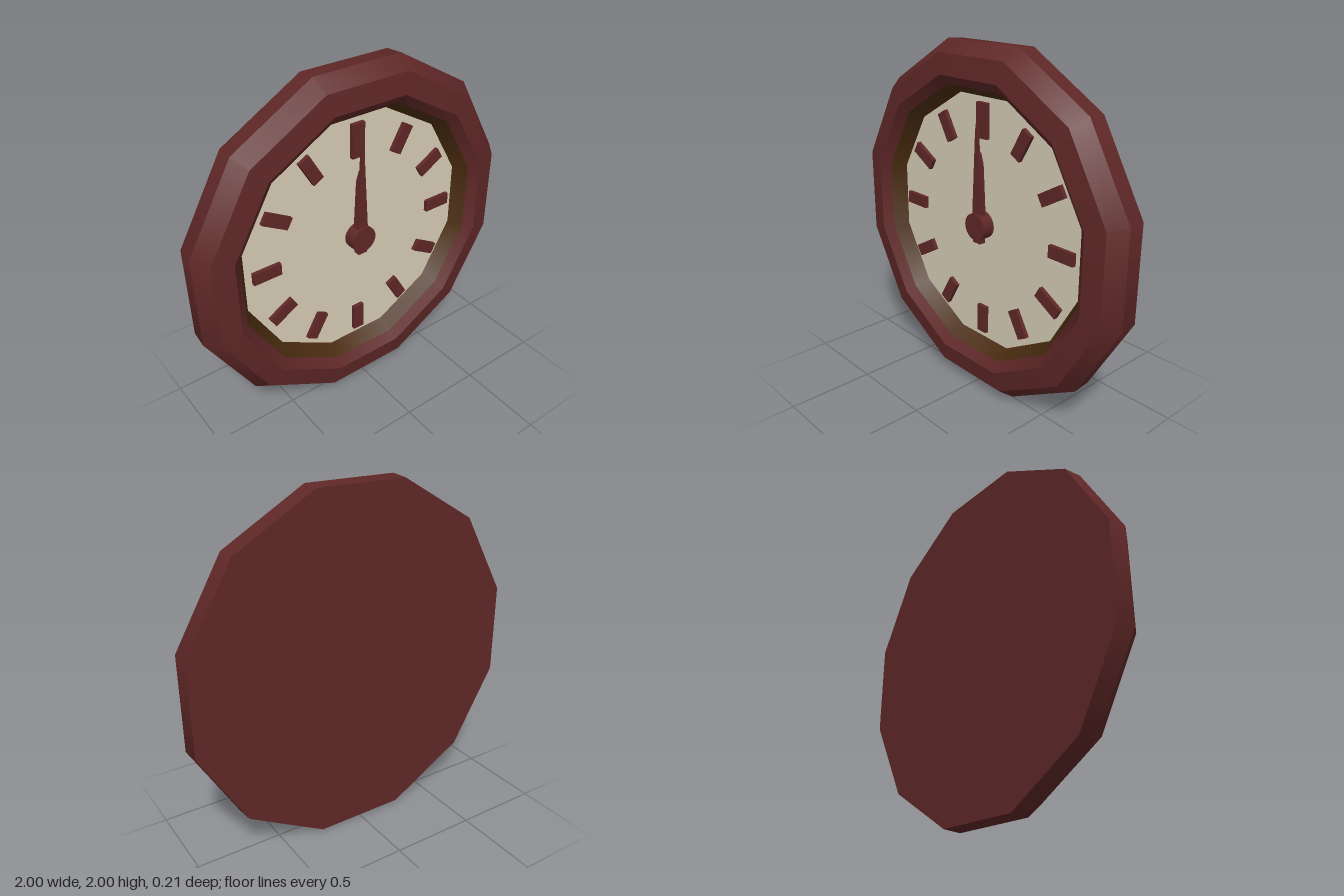
import * as THREE from 'three';

const SIDES = 12;
const STEP = Math.PI / 6;
const CORNER = 1 / Math.cos(STEP / 2); // flat-to-corner radius ratio
const DIAL_Z = -0.02;

const wood = new THREE.MeshStandardMaterial({ color: 0x5f2727 });
wood.name = 'darkRedWood';
const cream = new THREE.MeshStandardMaterial({ color: 0xd8cdb6 });
cream.name = 'creamDial';
const bronze = new THREE.MeshStandardMaterial({ color: 0x4a2c10 });
bronze.name = 'bronzeRim';

function add(parent, name, geometry, material) {
  const mesh = new THREE.Mesh(geometry, material);
  mesh.name = name;
  parent.add(mesh);
  return mesh;
}

// Twelve-sided band between two [flat radius, z] points, smooth around
function band(a, b) {
  const points = [a, b].map(([r, z]) => new THREE.Vector2(r * CORNER, z));
  return new THREE.LatheGeometry(points, SIDES, STEP / 2).rotateX(Math.PI / 2);
}

// Tapered hand with a short tail, flat on its back at z
function hand(tip, baseHalf, tipHalf, tail, z, depth) {
  const shape = new THREE.Shape([
    new THREE.Vector2(-0.03, -tail),
    new THREE.Vector2(0.03, -tail),
    new THREE.Vector2(baseHalf, 0.06),
    new THREE.Vector2(tipHalf, tip - 0.06),
    new THREE.Vector2(0, tip),
    new THREE.Vector2(-tipHalf, tip - 0.06),
    new THREE.Vector2(-baseHalf, 0.06),
  ]);
  return new THREE.ExtrudeGeometry(shape, { depth, bevelEnabled: false }).translate(0, 0, z);
}

export function createModel() {
  const clock = new THREE.Group();
  clock.name = 'wallClock';
  clock.position.y = 1;

  // Frame: back, side, bevels and inner slope, creased between bands
  const frame = new THREE.Group();
  frame.name = 'frame';
  clock.add(frame);
  const profile = [[0, -0.108], [0.992, -0.108], [1, 0], [0.935, 0.088], [0.82, 0.106], [0.768, 0.06]];
  const names = ['backPanel', 'outerSide', 'outerBevel', 'frontFace', 'innerSlope'];
  names.forEach((name, i) => add(frame, name, band(profile[i], profile[i + 1]), wood));

  // Bronze lining and dial
  add(clock, 'innerRim', band([0.768, 0.06], [0.718, DIAL_Z]), bronze);
  add(clock, 'dial', new THREE.CircleGeometry(0.72 * CORNER, SIDES, STEP / 2).translate(0, 0, DIAL_Z), cream);

  // Hour markers, the top one larger
  const markers = new THREE.Group();
  markers.name = 'hourMarkers';
  clock.add(markers);
  for (let i = 0; i < 12; i++) {
    const [w, h] = i === 0 ? [0.08, 0.195] : [0.07, 0.168];
    const box = new THREE.BoxGeometry(w, h, 0.024).translate(0, 0.592, DIAL_Z + 0.012);
    add(markers, 'hourMarker', box, wood).rotation.z = -i * STEP;
  }

  // Both hands point straight up
  add(clock, 'hourHand', hand(0.42, 0.037, 0.02, 0.1, 0.004, 0.014), wood);
  add(clock, 'minuteHand', hand(0.6, 0.035, 0.009, 0.1, 0.026, 0.014), wood);

  // Hub
  const hub = new THREE.CylinderGeometry(0.078, 0.078, 0.075, 24).rotateX(Math.PI / 2);
  add(clock, 'hub', hub.translate(0, 0, DIAL_Z + 0.0375), wood);

  const model = new THREE.Group();
  model.name = 'model';
  model.add(clock);
  return model;
}
